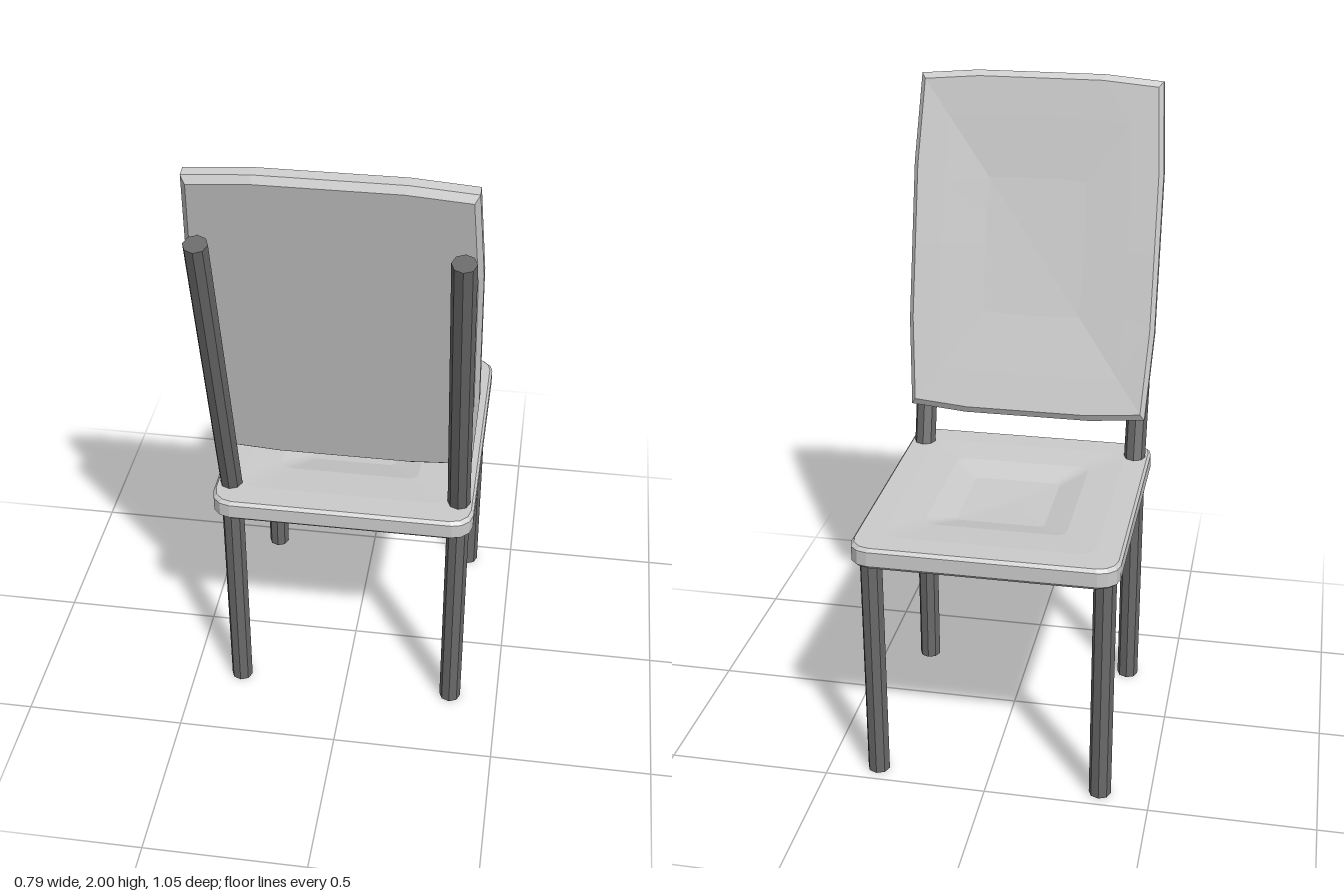
import * as THREE from 'three';

const pale = new THREE.MeshStandardMaterial({ color: 0xcccccc, flatShading: true });
const dark = new THREE.MeshStandardMaterial({ color: 0x6a6a6a, flatShading: true });

// Loft an outline [x, z] through rings of [scale, height], bottom to top.
function slab(outline, rings) {
  const n = outline.length, pos = [], index = [];
  for (const [s, h] of rings) for (const [x, z] of outline) pos.push(x * s, h, z * s);
  for (let i = 0; i < rings.length - 1; i++) {
    for (let j = 0; j < n; j++) {
      const a = i * n + j, b = i * n + (j + 1) % n, c = b + n, d = a + n;
      if (rings[i][0] > 0) index.push(a, c, b);
      if (rings[i + 1][0] > 0) index.push(a, d, c);
      else index.push(a, d, b);
    }
  }
  const g = new THREE.BufferGeometry();
  g.setAttribute('position', new THREE.Float32BufferAttribute(pos, 3));
  g.setIndex(index);
  g.computeVertexNormals();
  return g;
}

// Rectangle with rounded corners and subdivided sides
function roundedRect(hx, hz, r) {
  const pts = [];
  const corners = [[1, 1], [-1, 1], [-1, -1], [1, -1]];
  corners.forEach(([sx, sz], k) => {
    for (let i = 0; i <= 3; i++) {
      const a = (k + i / 3) * Math.PI / 2;
      pts.push([sx * (hx - r) + r * Math.cos(a), sz * (hz - r) + r * Math.sin(a)]);
    }
    // points along the side that follows
    for (const t of [0.5, 0, -0.5]) {
      pts.push(k % 2 === 0 ? [sx * t * hx, sz * hz] : [sx * hx, sz * t * hz]);
    }
  });
  return pts;
}

// Round bar between two points
function bar(name, from, to, r) {
  const dir = to.clone().sub(from);
  const m = new THREE.Mesh(new THREE.CylinderGeometry(r, r, dir.length(), 8), dark);
  m.position.copy(from).add(to).multiplyScalar(0.5);
  m.quaternion.setFromUnitVectors(new THREE.Vector3(0, 1, 0), dir.normalize());
  m.name = name;
  return m;
}

export function createModel() {
  const chair = new THREE.Group();
  chair.name = 'chair';

  // Seat with a shallow hollow in its top
  const seat = new THREE.Mesh(slab(roundedRect(0.395, 0.44, 0.06), [
    [0, 0], [0.98, 0], [1, 0.01], [1, 0.055], [0.98, 0.065],
    [0.8, 0.065], [0.54, 0.058], [0.34, 0.035], [0, 0.03],
  ]), pale);
  seat.name = 'seat';
  seat.position.set(0, 0.75, -0.088);
  chair.add(seat);

  // Leaning backrest with a bevelled rim and hollowed front
  const quarter = [[0.394, 0.25], [0.378, 0.525], [0.2, 0.54]];
  const outline = [
    ...quarter, [0, 0.54],
    ...quarter.slice().reverse().map(([x, z]) => [-x, z]), [-0.394, 0],
    ...quarter.map(([x, z]) => [-x, -z]), [0, -0.54],
    ...quarter.slice().reverse().map(([x, z]) => [x, -z]), [0.394, 0],
  ];
  const backrest = new THREE.Mesh(slab(outline, [
    [0, -0.03], [0.965, -0.03], [1, -0.015], [1, 0.015], [0.965, 0.03],
    [0.75, 0.024], [0.4, 0.012], [0, 0.008],
  ]), pale);
  backrest.name = 'backrest';
  backrest.position.set(0, 1.469, 0.343);
  backrest.rotation.x = -Math.PI / 2 + 0.231;
  chair.add(backrest);

  // Four straight legs and two leaning back posts
  for (const [side, x] of [['left', 0.347], ['right', -0.347]]) {
    const v = (y, z) => new THREE.Vector3(x, y, z);
    chair.add(bar(side + 'FrontLeg', v(0, -0.437), v(0.76, -0.437), 0.034));
    chair.add(bar(side + 'BackLeg', v(0, 0.248), v(0.76, 0.248), 0.034));
    chair.add(bar(side + 'BackPost', v(0.78, 0.24), v(1.787, 0.493), 0.034));
  }
  return chair;
}
